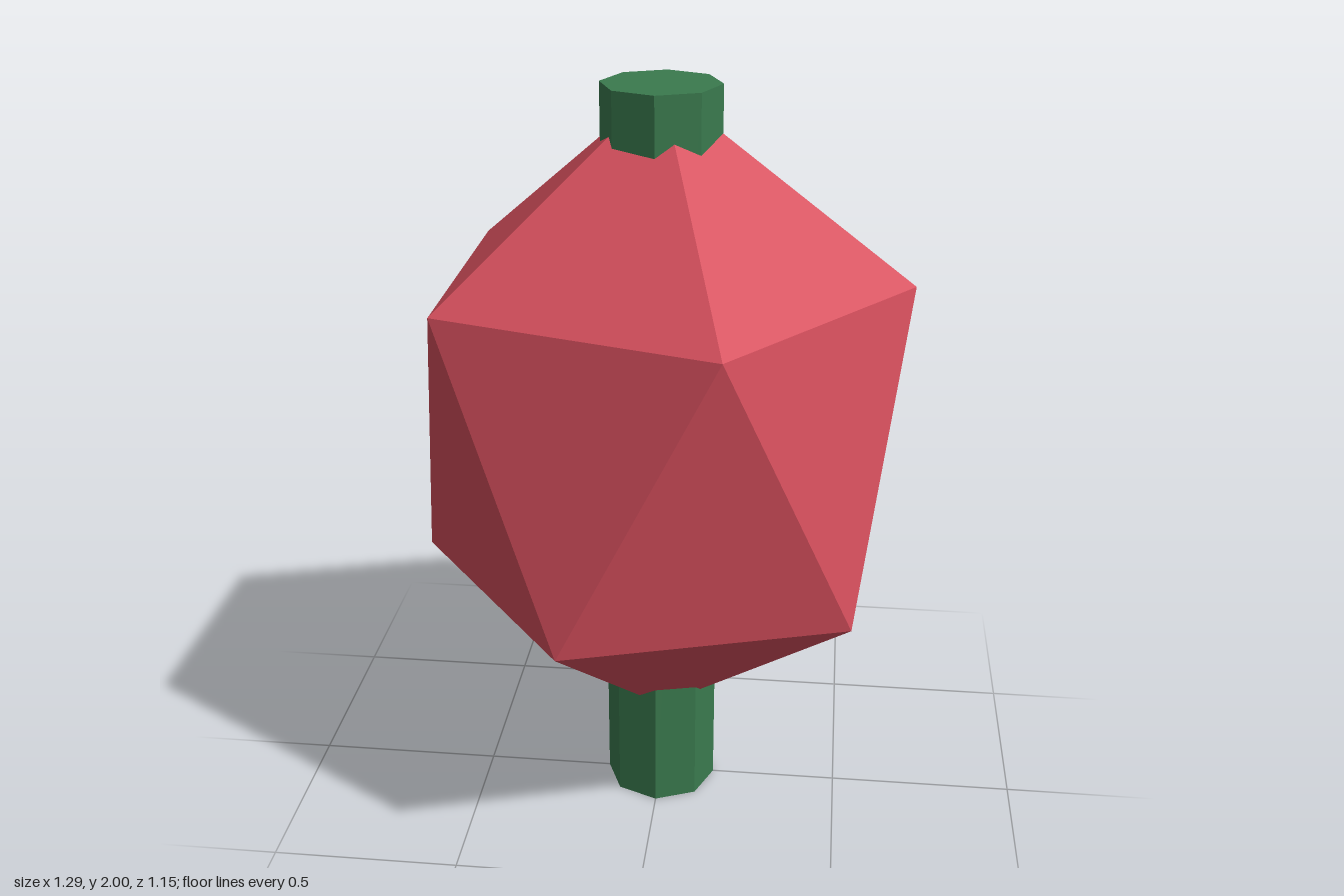
import * as THREE from 'three';

const red = new THREE.MeshStandardMaterial({ color: 0xd64f5d, flatShading: true });
red.name = 'red';
const green = new THREE.MeshStandardMaterial({ color: 0x3a7a4e, flatShading: true });
green.name = 'green';

// Stretched icosahedron: two apexes and two staggered five-point rings
function bodyGeometry() {
  const ring = (y, offset) => (i) => {
    const a = (i + offset) * Math.PI * 2 / 5;
    return [0.643 * Math.cos(a), y, 0.605 * Math.sin(a)];
  };
  const upper = ring(1.505, 0), lower = ring(0.71, 0.5);
  const top = [0, 1.995, 0], bottom = [0, 0.22, 0];
  const points = [];
  for (let i = 0; i < 5; i++) {
    points.push(
      top, upper(i + 1), upper(i),
      upper(i), upper(i + 1), lower(i),
      lower(i), upper(i + 1), lower(i + 1),
      bottom, lower(i), lower(i + 1),
    );
  }
  const geometry = new THREE.BufferGeometry();
  geometry.setAttribute('position', new THREE.Float32BufferAttribute(points.flat(), 3));
  geometry.computeVertexNormals();
  return geometry;
}

export function createModel() {
  const model = new THREE.Group();
  model.name = 'facetedBodyOnStem';

  const body = new THREE.Mesh(bodyGeometry(), red);
  body.name = 'body';

  // Eight-sided stem running through the whole height
  const stem = new THREE.Mesh(new THREE.CylinderGeometry(0.152, 0.152, 2, 8), green);
  stem.name = 'stem';
  stem.position.y = 1;

  model.add(body, stem);
  return model;
}
